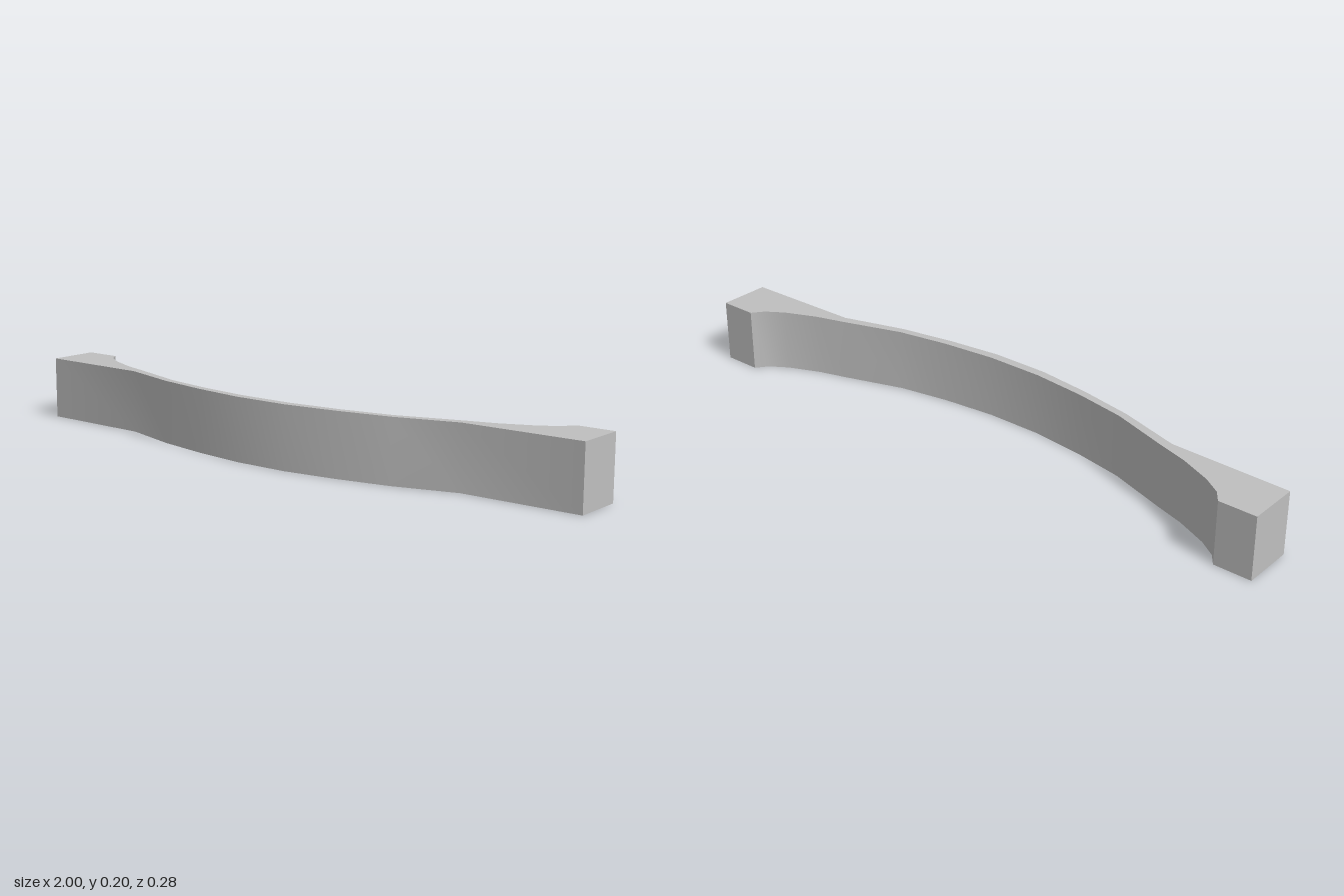
import * as THREE from 'three';
import { toCreasedNormals } from 'three/addons/utils/BufferGeometryUtils.js';

const HEIGHT = 0.197;

// Half outlines seen from above as [x, z], from the middle out to the end
const FRONT = [[0.09, 0.139], [0.26, 0.118], [0.43, 0.086], [0.625, 0.028], [1, 0.021]];
const BACK = [[0.09, 0.111], [0.26, 0.093], [0.42, 0.064], [0.61, 0.002], [0.7, -0.025],
  [0.8, -0.068], [0.855, -0.104], [0.882, -0.14], [1, -0.14]];

// Full edge from left end (-x) to right end (+x)
const mirrored = (half) => [...half.map(([x, z]) => [-x, z]).reverse(), ...half];

export function createModel() {
  const group = new THREE.Group();
  group.name = 'curvedHandle';
  const grey = new THREE.MeshStandardMaterial({ color: 0xbfbfbf });
  grey.name = 'grey';

  // Thin bowed bar with flared end blocks, extruded upwards
  const outline = [...mirrored(FRONT), ...mirrored(BACK).reverse()];
  const shape = new THREE.Shape(outline.map(([x, z]) => new THREE.Vector2(x, -z)));
  const bar = new THREE.ExtrudeGeometry(shape, { depth: HEIGHT, bevelEnabled: false });
  bar.rotateX(-Math.PI / 2);

  // Smooth along the bow, sharp at the end blocks and rims
  const mesh = new THREE.Mesh(toCreasedNormals(bar, 0.6), grey);
  mesh.name = 'bowedBar';
  group.add(mesh);
  return group;
}
